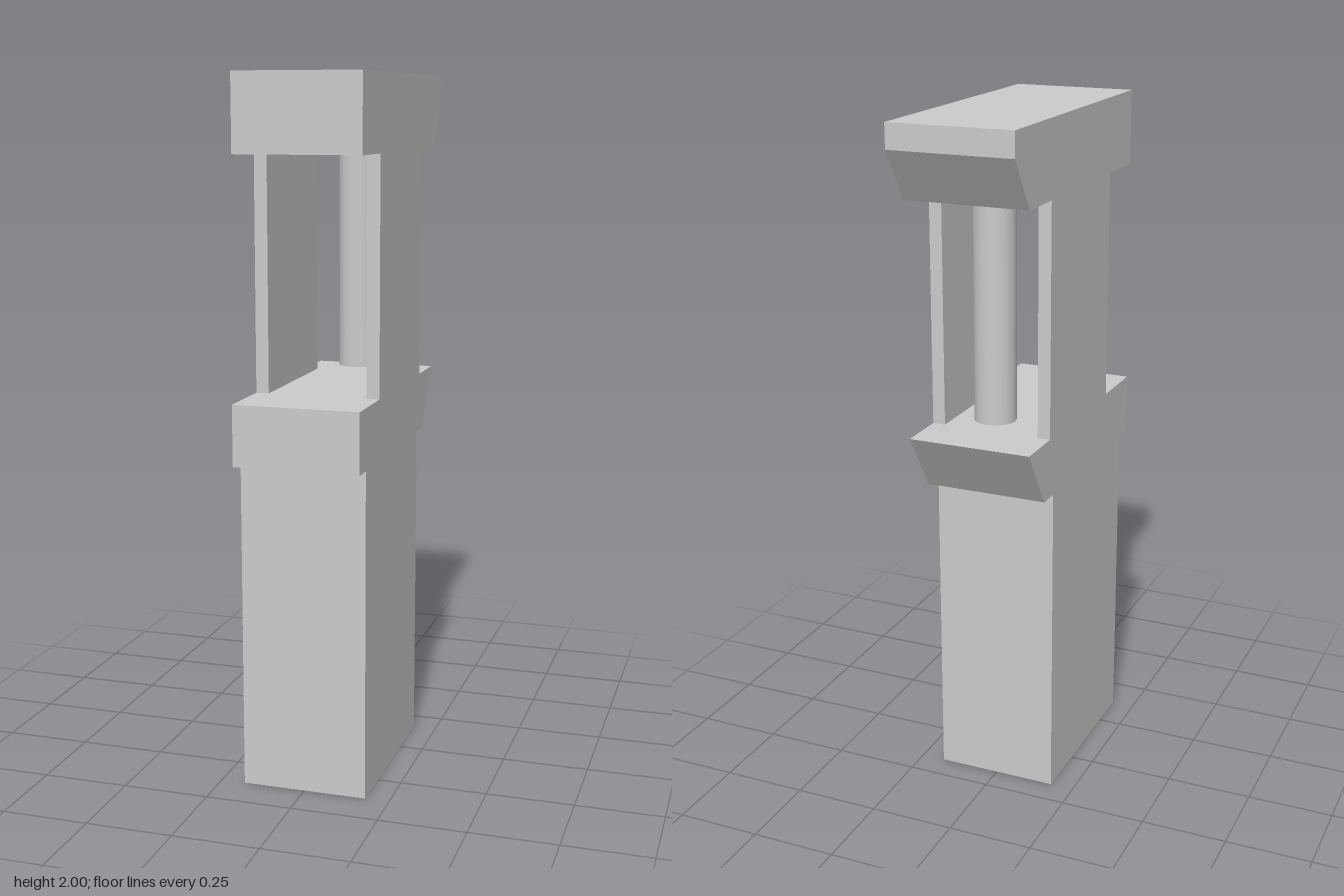
import * as THREE from 'three';

const WIDTH = 0.36;
const material = new THREE.MeshStandardMaterial({ color: 0xcccccc });

// Extrudes a side profile of [z, y] points across x, centred at the given x.
function addProfile(group, name, points, width = WIDTH, x = 0) {
  const shape = new THREE.Shape(points.map(([z, y]) => new THREE.Vector2(z, y)));
  const geometry = new THREE.ExtrudeGeometry(shape, { depth: width, bevelEnabled: false });
  geometry.rotateY(-Math.PI / 2).translate(x + width / 2, 0, 0);
  const mesh = new THREE.Mesh(geometry, material);
  mesh.name = name;
  group.add(mesh);
}

export function createModel() {
  const group = new THREE.Group();
  group.name = 'pillar';

  // Lower column and the shelf with its sloped back edge
  addProfile(group, 'baseAndShelf', [
    [-0.17, 0], [0.38, 0], [0.38, 0.945], [0.44, 0.945],
    [0.44, 1.118], [-0.345, 1.118], [-0.235, 0.945], [-0.17, 0.945],
  ]);

  // Thin side walls around the open bay
  const wall = 0.037;
  for (const side of [-1, 1]) {
    addProfile(group, side > 0 ? 'leftWall' : 'rightWall', [
      [-0.197, 1.118], [0.248, 1.118], [0.248, 1.785], [-0.197, 1.785],
    ], wall, side * (WIDTH - wall) / 2);
  }

  // Head block with a chamfered back
  addProfile(group, 'head', [
    [-0.345, 1.785], [0.418, 1.785], [0.418, 2], [-0.44, 2], [-0.44, 1.93],
  ]);

  // Round rod hanging from the head, just clear of the shelf
  const bottom = 1.145, top = 1.785;
  const rod = new THREE.Mesh(new THREE.CylinderGeometry(0.06, 0.06, top - bottom, 32), material);
  rod.name = 'hangingRod';
  rod.position.set(0, (bottom + top) / 2, -0.163);
  group.add(rod);

  return group;
}
